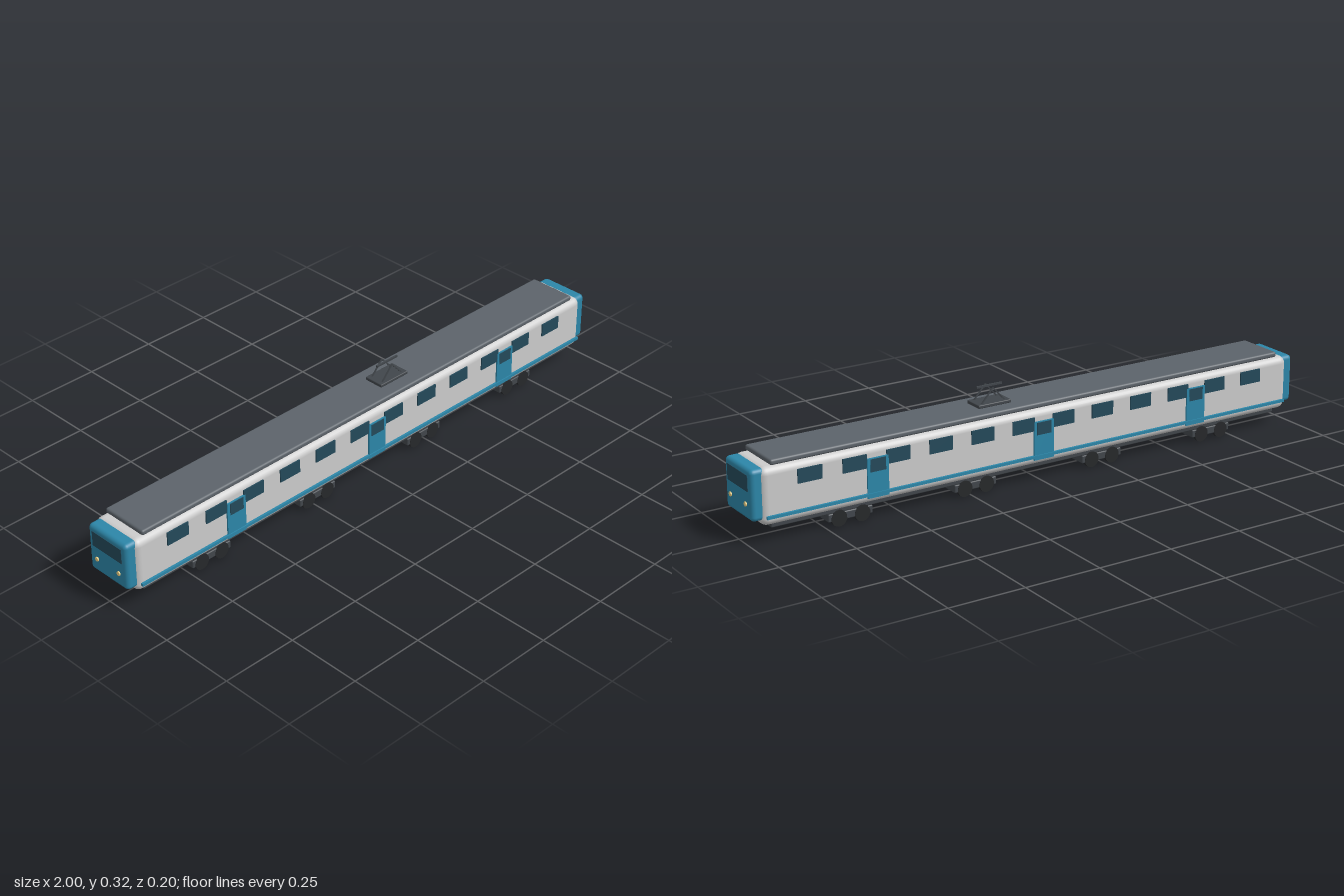
import * as THREE from 'three';
import { RoundedBoxGeometry } from 'three/addons/geometries/RoundedBoxGeometry.js';

const paint = (color) => new THREE.MeshStandardMaterial({ color });

export function createModel() {
  const model = new THREE.Group();
  model.name = 'railcar';
  const white = paint(0xd9dbdc), teal = paint(0x2c86a8), glass = paint(0x24495a);
  const roofGrey = paint(0x5c636a), darkGrey = paint(0x41464b), black = paint(0x26282a), lamp = paint(0xe8cc82);

  const add = (name, geometry, material, x, y, z, parent = model) => {
    const mesh = new THREE.Mesh(geometry, material);
    mesh.name = name;
    mesh.position.set(x, y, z);
    parent.add(mesh);
    return mesh;
  };
  const box = (w, h, d) => new THREE.BoxGeometry(w, h, d);
  const rounded = (w, h, d, r) => new RoundedBoxGeometry(w, h, d, 3, r);

  // Body shell, roof and underframe
  add('body', rounded(1.936, 0.18, 0.184, 0.024), white, 0, 0.147, 0);
  add('roof', rounded(1.86, 0.018, 0.163, 0.007), roofGrey, 0, 0.246, 0);
  add('underframe', rounded(1.86, 0.018, 0.143, 0.004), darkGrey, 0, 0.052, 0);

  // Side windows, doors and stripes
  const windowGeo = box(0.08, 0.044, 0.005);
  const doorGeo = box(0.072, 0.125, 0.006);
  const doorWindowGeo = box(0.052, 0.04, 0.003);
  const stripeGeo = box(1.91, 0.009, 0.008);
  for (const side of [1, -1]) {
    for (let i = 0; i < 12; i++) {
      add('sideWindow', windowGeo, glass, (i - 5.5) * 0.1475, 0.193, side * 0.0935);
    }
    for (const x of [-0.587, 0, 0.587]) {
      add('door', doorGeo, teal, x, 0.1375, side * 0.094);
      add('doorWindow', doorWindowGeo, glass, x, 0.177, side * 0.0972);
    }
    add('sideStripe', stripeGeo, teal, 0, 0.087, side * 0.0965);
  }

  // Cab at each end
  const cabGeo = rounded(0.05, 0.159, 0.167, 0.014);
  const lampGeo = new THREE.CylinderGeometry(0.007, 0.007, 0.006, 16).rotateZ(Math.PI / 2);
  for (const end of [1, -1]) {
    const cab = new THREE.Group();
    cab.name = 'cab';
    add('cabShell', cabGeo, teal, 0.971, 0.155, 0, cab);
    add('windscreen', box(0.006, 0.05, 0.128), glass, 0.9945, 0.191, 0, cab);
    for (const z of [0.048, -0.048]) add('headlamp', lampGeo, lamp, 0.997, 0.125, z, cab);
    cab.rotation.y = end > 0 ? 0 : Math.PI;
    model.add(cab);
  }

  // Four bogies with two wheels on each side
  const frameGeo = rounded(0.15, 0.026, 0.148, 0.004);
  const wheelGeo = new THREE.CylinderGeometry(0.026, 0.026, 0.011, 18).rotateX(Math.PI / 2);
  const axleGeo = new THREE.CylinderGeometry(0.006, 0.006, 0.13, 8).rotateX(Math.PI / 2);
  for (const x of [-0.67, -0.235, 0.235, 0.67]) {
    const bogie = new THREE.Group();
    bogie.name = 'bogie';
    bogie.position.x = x;
    add('bogieFrame', frameGeo, darkGrey, 0, 0.031, 0, bogie);
    for (const dx of [-0.039, 0.039]) {
      add('axle', axleGeo, black, dx, 0.026, 0, bogie);
      for (const z of [-0.07, 0.07]) add('wheel', wheelGeo, black, dx, 0.026, z, bogie);
    }
    model.add(bogie);
  }

  // Current collector on the roof: base, two inverted-V arm pairs, contact bar
  const collector = new THREE.Group();
  collector.name = 'currentCollector';
  collector.position.x = 0.138;
  add('collectorBase', rounded(0.118, 0.011, 0.069, 0.003), darkGrey, 0, 0.261, 0, collector);
  const rise = 0.046, run = 0.042;
  const armGeo = box(Math.hypot(rise, run), 0.004, 0.004);
  for (const z of [-0.022, 0.022]) {
    for (const side of [1, -1]) {
      const arm = add('collectorArm', armGeo, darkGrey, side * run / 2, 0.288, z, collector);
      arm.rotation.z = -side * Math.atan2(rise, run);
    }
  }
  add('contactBar', box(0.09, 0.006, 0.006), darkGrey, 0, 0.313, 0, collector);
  model.add(collector);

  return model;
}
